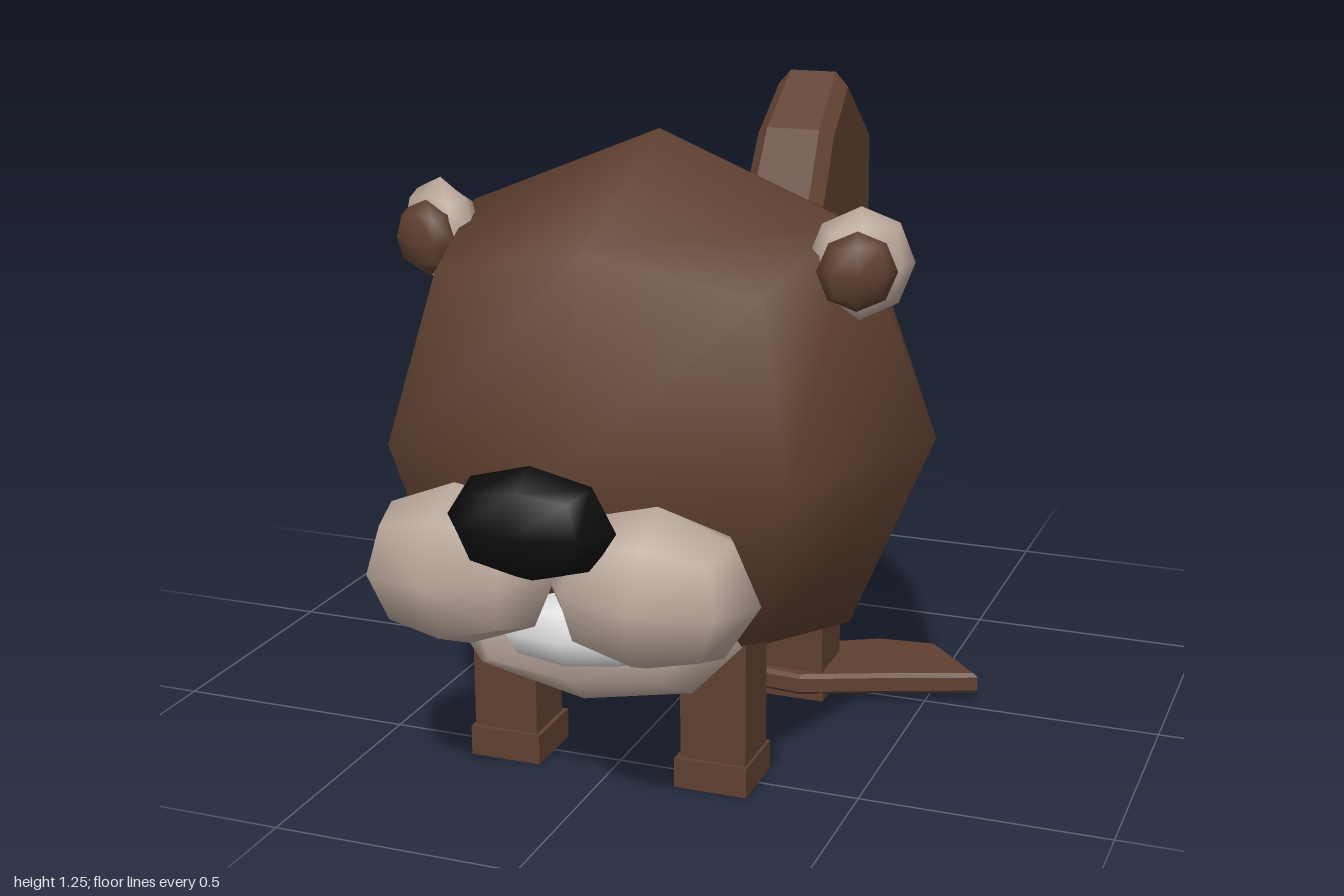
import * as THREE from 'three';
import { mergeVertices } from 'three/addons/utils/BufferGeometryUtils.js';

const paint = (name, color) => Object.assign(new THREE.MeshStandardMaterial({ color }), { name });

// Low-poly ball: a subdivided cube pushed out to a sphere, smooth shaded
function ballGeometry() {
  let g = new THREE.BoxGeometry(2, 2, 2, 2, 2, 2);
  g.deleteAttribute('uv');
  g.deleteAttribute('normal');
  g = mergeVertices(g);
  const p = g.attributes.position, v = new THREE.Vector3();
  for (let i = 0; i < p.count; i++) {
    v.fromBufferAttribute(p, i).normalize();
    p.setXYZ(i, v.x, v.y, v.z);
  }
  g.computeVertexNormals();
  return g;
}

function plate(points, depth, bevel) {
  const shape = new THREE.Shape(points.map(([x, y]) => new THREE.Vector2(x, y)));
  const g = new THREE.ExtrudeGeometry(shape, {
    depth: depth - 2 * bevel, bevelEnabled: true, bevelSegments: 1,
    bevelSize: bevel, bevelThickness: bevel, bevelOffset: -bevel,
  });
  return g.translate(0, 0, bevel);
}

export function createModel() {
  const brown = paint('brown fur', 0x5f4030);
  const beige = paint('beige fur', 0xbca89c);
  const white = paint('tooth white', 0xdddddd);
  const black = paint('nose black', 0x0d0d0d);

  const model = new THREE.Group();
  model.name = 'beaver';
  const ball = ballGeometry();

  const add = (parent, name, geometry, material, pos = [0, 0, 0], scale = [1, 1, 1], rot = [0, 0, 0]) => {
    const m = new THREE.Mesh(geometry, material);
    m.name = name;
    m.position.set(...pos);
    m.scale.set(...scale);
    m.rotation.set(...rot);
    parent.add(m);
    return m;
  };
  const box = (parent, name, pos, size) => add(parent, name, new THREE.BoxGeometry(...size), brown, pos);

  // Body, slightly flattened at the face and the rump
  const bodyGeo = ball.clone();
  const bp = bodyGeo.attributes.position;
  for (let i = 0; i < bp.count; i++) {
    if (Math.abs(bp.getZ(i)) > 0.99) bp.setZ(i, bp.getZ(i) * 0.93);
  }
  bodyGeo.computeVertexNormals();
  add(model, 'body', bodyGeo, brown, [0, 0.675, 0.265], [0.575, 0.575, 0.575]);

  // Face
  add(model, 'nose', ball, black, [0, 0.638, 0.903], [0.165, 0.108, 0.095]);
  add(model, 'chin', ball, beige, [0, 0.345, 0.645], [0.31, 0.14, 0.1], [-0.25, 0, 0]);
  add(model, 'teeth', ball, white, [0, 0.365, 0.715], [0.175, 0.075, 0.08]);

  // Mirrored parts
  for (const side of [1, -1]) {
    const half = new THREE.Group();
    half.name = side > 0 ? 'leftParts' : 'rightParts';
    half.scale.x = side;
    model.add(half);

    add(half, 'cheek', ball, beige, [0.19, 0.503, 0.8], [0.205, 0.158, 0.148], [0, 0.1, -0.08]);
    add(half, 'ear', ball, beige, [0.44, 1.03, 0.35], [0.105, 0.11, 0.055], [0, 0.42, 0]);
    add(half, 'innerEar', ball, brown, [0.448, 1.025, 0.4], [0.077, 0.077, 0.045], [0, 0.35, 0]);

    box(half, 'frontLeg', [0.222, 0.185, 0.503], [0.135, 0.29, 0.125]);
    box(half, 'frontPaw', [0.22, 0.031, 0.503], [0.15, 0.062, 0.145]);
    box(half, 'backLeg', [0.222, 0.185, 0.005], [0.135, 0.29, 0.13]);
    box(half, 'backHeel', [0.22, 0.025, 0.008], [0.15, 0.05, 0.145]);

    // Webbed back foot, spread outward (x, -z)
    const web = plate([
      [0.15, -0.09], [0.25, -0.1], [0.42, -0.03], [0.605, 0.04],
      [0.475, 0.183], [0.35, 0.17], [0.15, 0.06],
    ], 0.046, 0.008).rotateX(-Math.PI / 2);
    add(half, 'webbedFoot', web, brown, [0, 0.015, 0]);
  }

  // Flat paddle tail (z, y), thinner towards the tip
  const tailGeo = plate([
    [-0.1, 0.42], [-0.1, 0.73], [-0.24, 0.79], [-0.42, 0.88], [-0.51, 1.0],
    [-0.58, 1.12], [-0.73, 1.235], [-0.99, 1.065], [-1.0, 0.725], [-0.63, 0.41],
  ], 2, 0.028).translate(0, 0, -1).rotateY(-Math.PI / 2);
  const tp = tailGeo.attributes.position;
  for (let i = 0; i < tp.count; i++) {
    const x = tp.getX(i), t = (-tp.getZ(i) - 0.25) / 0.75;
    const width = 0.11 - 0.038 * t;
    // outer faces sit at the full width, bevel edges a little inside
    tp.setX(i, Math.sign(x) * (Math.abs(x) > 0.99 ? width : width - 0.03));
  }
  tailGeo.computeVertexNormals();
  add(model, 'tail', tailGeo, brown);

  return model;
}
